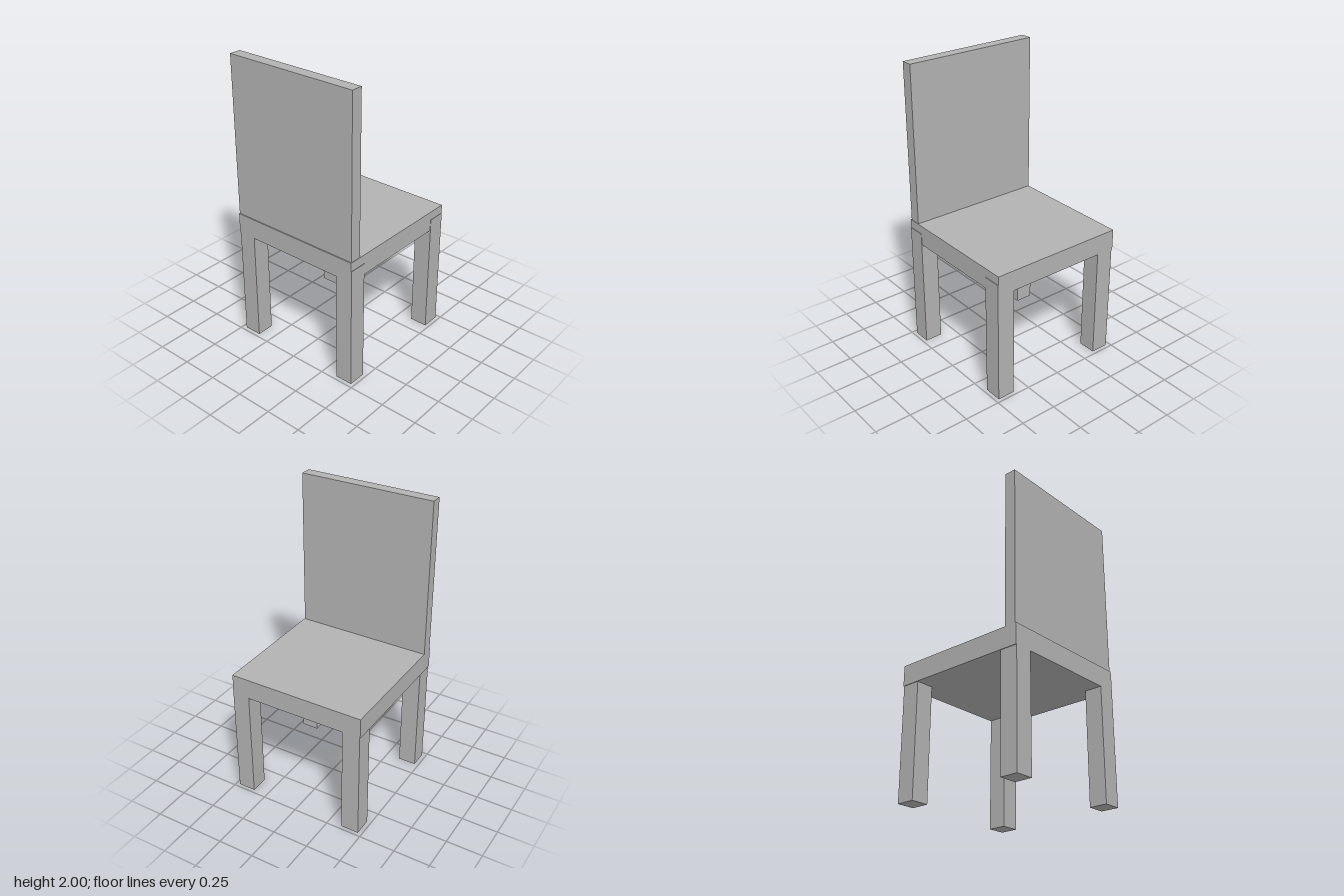
import * as THREE from 'three';

export function createModel() {
  const chair = new THREE.Group();
  chair.name = 'chair';
  const grey = new THREE.MeshStandardMaterial({ color: 0xb2b2b2 });
  grey.name = 'plain grey';

  // Box given by its [min, max] range on each axis
  function block(name, [x0, x1], [y0, y1], [z0, z1]) {
    const mesh = new THREE.Mesh(new THREE.BoxGeometry(x1 - x0, y1 - y0, z1 - z0), grey);
    mesh.position.set((x0 + x1) / 2, (y0 + y1) / 2, (z0 + z1) / 2);
    mesh.name = name;
    chair.add(mesh);
  }

  // Seat slab and tall back panel, which stands on the +z edge
  block('seat', [-0.477, 0.472], [0.77, 0.91], [-0.477, 0.474]);
  block('backrest', [-0.477, 0.469], [0.9, 2], [0.388, 0.467]);

  // Four square legs, their tops sunk into the seat
  for (const [side, x] of [['Right', [-0.472, -0.348]], ['Left', [0.353, 0.475]]]) {
    block('backrestLeg' + side, x, [0, 0.85], [0.35, 0.473]);
    block('openSideLeg' + side, x, [0, 0.85], [-0.475, -0.35]);
  }
  return chair;
}
